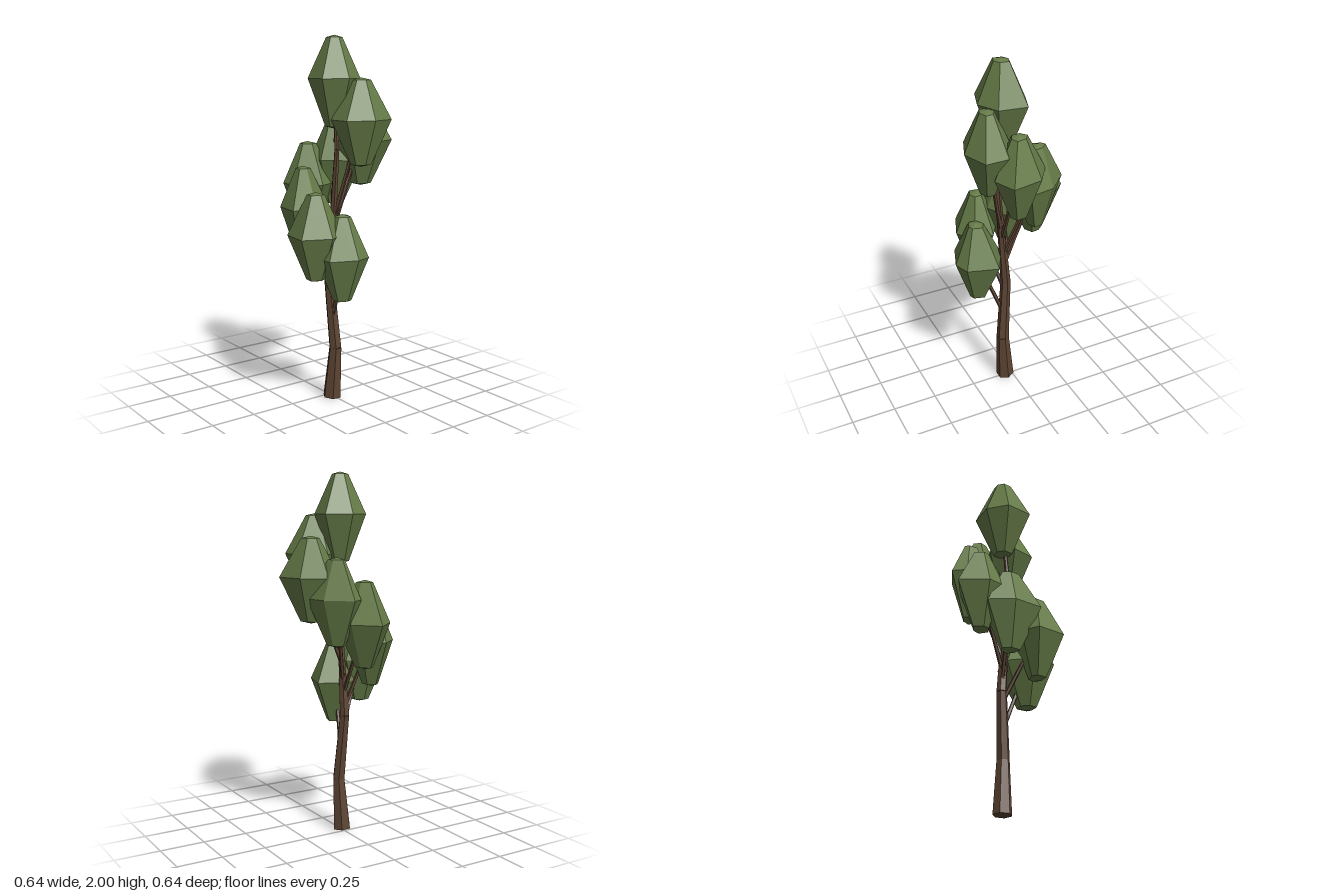
import * as THREE from 'three';

const bark = new THREE.MeshStandardMaterial({ name: 'bark brown', color: 0x5d4433 });
const leaf = new THREE.MeshStandardMaterial({ name: 'leaf green', color: 0x667c48 });

// Leaf clumps: bottom, widest and top heights, then the widest outline as [x, z]
const CLUMPS = [
  { y: [1.51, 1.775, 2.0], ring: [[-.08, .005], [-.03, -.135], [.125, -.115], [.187, .005], [.14, .145], [-.02, .125]] },
  { y: [1.31, 1.56, 1.78], ring: [[.04, -.08], [.12, -.225], [.25, -.23], [.3, -.08], [.243, .065], [.1, .06]] },
  { y: [1.19, 1.44, 1.66], ring: [[-.115, -.165], [-.03, -.29], [.14, -.325], [.19, -.2], [.12, -.06], [-.03, -.05]] },
  { y: [1.07, 1.33, 1.55], ring: [[-.255, -.09], [-.14, -.21], [0, -.235], [.05, -.09], [-.05, .02], [-.205, -.02]] },
  { y: [0.95, 1.2, 1.43], ring: [[-.325, .035], [-.2, -.08], [-.07, -.1], [0, .04], [-.105, .165], [-.21, .16]] },
  { y: [0.83, 1.09, 1.31], ring: [[-.205, .14], [-.12, .03], [.02, .02], [.08, .14], [.065, .28], [-.105, .25]] },
  { y: [0.71, 0.96, 1.19], ring: [[0, .19], [.08, .06], [.2, .05], [.26, .165], [.2, .32], [.03, .295]] },
  { y: [0.59, 0.84, 1.07], ring: [[.04, .05], [.12, -.1], [.29, -.05], [.32, .04], [.265, .19], [.12, .18]] },
];

// Where each clump's branch leaves the trunk
const BRANCH_START = [null, 1.0, 0.95, 0.85, 0.78, 0.7, 0.6, 0.45];

// Trunk stations: x, y, z, radius
const TRUNK = [
  [.04, 0, .008, .052], [.058, .29, -.002, .036], [.028, .66, .018, .029],
  [.055, 1.0, .015, .02], [.085, 1.4, .01, .014], [.06, 1.65, .005, .008],
];

function centreOf(ring) {
  const sum = ring.reduce((s, p) => [s[0] + p[0], s[1] + p[1]], [0, 0]);
  return sum.map((v) => v / ring.length);
}

// Faceted six-sided clump with small flat caps
function clumpGeometry({ y, ring }) {
  const [cx, cz] = centreOf(ring);
  const level = (scale, h) =>
    ring.map(([x, z]) => [cx + (x - cx) * scale, h, cz + (z - cz) * scale]);
  const levels = [
    level(0, y[0]), level(.34, y[0] + .012), level(1, y[1]),
    level(.31, y[2] - .012), level(0, y[2]),
  ];
  const pos = [];
  const n = ring.length;
  for (let l = 0; l < levels.length - 1; l++) {
    for (let i = 0; i < n; i++) {
      const j = (i + 1) % n;
      const a = levels[l][i], b = levels[l + 1][i], c = levels[l + 1][j], d = levels[l][j];
      if (l < levels.length - 2) pos.push(...a, ...b, ...c);
      if (l > 0) pos.push(...a, ...c, ...d);
      if (l === levels.length - 2) continue;
    }
  }
  const geo = new THREE.BufferGeometry();
  geo.setAttribute('position', new THREE.Float32BufferAttribute(pos, 3));
  geo.computeVertexNormals();
  return geo;
}

// Tapered limb between two points
function limb(name, from, to, r0, r1, sides) {
  const dir = to.clone().sub(from);
  const geo = new THREE.CylinderGeometry(r1, r0, dir.length(), sides).toNonIndexed();
  geo.computeVertexNormals();
  const mesh = new THREE.Mesh(geo, bark);
  mesh.name = name;
  mesh.position.copy(from).addScaledVector(dir, .5);
  mesh.quaternion.setFromUnitVectors(new THREE.Vector3(0, 1, 0), dir.normalize());
  return mesh;
}

// Centre of the trunk at a given height
function trunkAt(h) {
  const i = TRUNK.findIndex((s) => s[1] > h);
  const a = TRUNK[i - 1], b = TRUNK[i];
  const t = (h - a[1]) / (b[1] - a[1]);
  return new THREE.Vector3(...a).lerp(new THREE.Vector3(...b), t);
}

export function createModel() {
  const tree = new THREE.Group();
  tree.name = 'tree';

  // Trunk
  const trunk = new THREE.Group();
  trunk.name = 'trunk';
  for (let i = 0; i < TRUNK.length - 1; i++) {
    const [a, b] = [TRUNK[i], TRUNK[i + 1]];
    trunk.add(limb('trunkSection', new THREE.Vector3(...a), new THREE.Vector3(...b), a[3], b[3], 6));
  }

  // Leaf clumps, each on its own thin branch
  const foliage = new THREE.Group();
  foliage.name = 'foliage';
  const branches = new THREE.Group();
  branches.name = 'branches';
  CLUMPS.forEach((clump, i) => {
    const mesh = new THREE.Mesh(clumpGeometry(clump), leaf);
    mesh.name = 'leafClump';
    foliage.add(mesh);
    if (BRANCH_START[i] === null) return;
    const [x, z] = centreOf(clump.ring);
    const tip = new THREE.Vector3(x, clump.y[1], z);
    branches.add(limb('branch', trunkAt(BRANCH_START[i]), tip, .013, .008, 5));
  });

  tree.add(trunk, branches, foliage);
  return tree;
}
